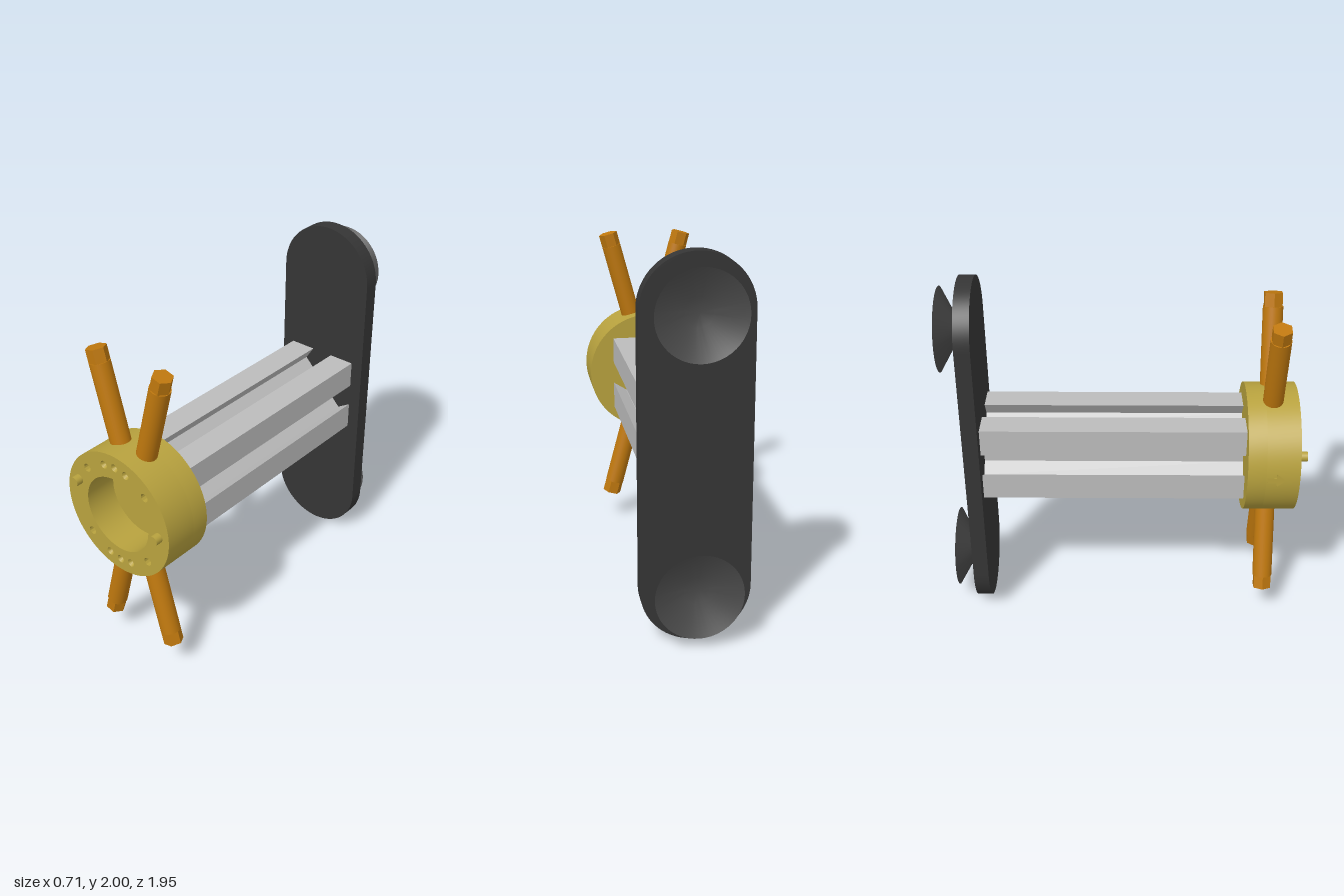
import * as THREE from 'three';
import { toCreasedNormals } from 'three/addons/utils/BufferGeometryUtils.js';

const CENTRE_Y = 1;

function material(name, color) {
  const m = new THREE.MeshStandardMaterial({ color });
  m.name = name;
  return m;
}

export function createModel() {
  const brass = material('brass', 0xb8a23e);
  const amber = material('amber', 0xbf780e);
  const aluminium = material('aluminium', 0xbcbcbc);
  const black = material('black', 0x353535);
  const rubber = material('rubber', 0x4a4a4a);
  const model = new THREE.Group();

  function add(name, geometry, mat, x = 0, y = 0, z = 0, parent = model) {
    const mesh = new THREE.Mesh(geometry, mat);
    mesh.name = name;
    mesh.position.set(x, y, z);
    parent.add(mesh);
    return mesh;
  }
  const extrude = (shape, depth) => toCreasedNormals(
    new THREE.ExtrudeGeometry(shape, { depth, bevelEnabled: false, curveSegments: 40 }), 0.5);
  const lathe = (points, segments) => toCreasedNormals(
    new THREE.LatheGeometry(points.map(p => new THREE.Vector2(...p)), segments), 0.5);
  const disc = r => new THREE.Shape().absarc(0, 0, r, 0, Math.PI * 2, false);

  // Upright back plate with rounded ends
  const R = 0.285;
  const plate = new THREE.Shape();
  plate.absarc(0, 2 - R, R, 0, Math.PI, false);
  plate.absarc(0, R, R, Math.PI, Math.PI * 2, false);
  plate.closePath();
  add('backPlate', extrude(plate, 0.085), black, 0, 0, -0.865);

  // Suction cups behind the plate
  const cup = lathe([[0.085, 0], [0.085, 0.03], [0.228, 0.11], [0.075, 0.035], [0, 0.035]], 48);
  cup.rotateX(-Math.PI / 2);
  for (const y of [R, 2 - R]) add('suctionCup', cup, rubber, 0, y, -0.865);

  // Slotted beam: one side of the section, turned four times
  const side = [[10, -10], [10, -3], [6.5, -5.2], [3.9, -2.6], [3.9, 2.6], [6.5, 5.2], [10, 3]];
  const section = [];
  for (let k = 0; k < 4; k++) {
    for (const [x, y] of side) {
      section.push(new THREE.Vector2(x, y).multiplyScalar(0.0215)
        .rotateAround(new THREE.Vector2(), k * Math.PI / 2));
    }
  }
  add('slottedBeam', extrude(new THREE.Shape(section), 1.435), aluminium, 0, CENTRE_Y, -0.78);

  // Round head: solid back and a bored front ring
  const head = new THREE.Group();
  head.name = 'head';
  head.position.y = CENTRE_Y;
  model.add(head);
  const smallHoles = [];
  for (const s of [1, -1]) {
    for (const x of [-0.075, 0, 0.075]) smallHoles.push([x, s * (x ? 0.275 : 0.287)]);
  }
  const ring = disc(0.355);
  const bore = (x, y, r) => ring.holes.push(new THREE.Path().absarc(x, y, r, 0, Math.PI * 2, true));
  bore(0, 0, 0.215);
  for (const x of [-0.2, 0.2]) for (const y of [-0.2, 0.2]) bore(x, y, 0.023);
  for (const [x, y] of smallHoles) bore(x, y, 0.022);
  add('headBack', extrude(disc(0.355), 0.1), brass, 0, 0, 0.655, head);
  add('headRing', extrude(ring, 0.18), brass, 0, 0, 0.755, head);

  // Countersunk screw seats
  const seat = lathe([[0.022, 0], [0.012, -0.02], [0, -0.02]], 20);
  seat.rotateX(Math.PI / 2);
  for (const [x, y] of smallHoles) add('screwSeat', seat, brass, x, y, 0.935, head);

  // Two locating pins on the face
  const pin = new THREE.CylinderGeometry(0.027, 0.027, 0.05, 24).rotateX(Math.PI / 2);
  for (const [x, y] of [[-0.27, 0.1], [0.285, 0]]) add('locatingPin', pin, brass, x, y, 0.95, head);

  // Small arrow mark on the right side
  const arrow = new THREE.Shape([[-0.05, -0.015], [0, -0.015], [0, -0.04], [0.05, 0],
    [0, 0.04], [0, 0.015], [-0.05, 0.015]].map(p => new THREE.Vector2(...p)));
  add('arrowMark', extrude(arrow, 0.007), brass, -0.35, 0, 0.81, head).rotation.y = -Math.PI / 2;

  // Four slanted handles with six-sided tips
  const shaft = new THREE.CylinderGeometry(0.055, 0.055, 0.455, 32).translate(0, 0.5575, 0);
  const tip = toCreasedNormals(
    new THREE.CylinderGeometry(0.055, 0.055, 0.075, 6).rotateY(Math.PI / 6).translate(0, 0.8225, 0), 0.5);
  for (const degrees of [15, -15, 165, -165]) {
    const handle = new THREE.Group();
    handle.name = 'handle';
    handle.position.z = 0.795;
    handle.rotation.z = degrees * Math.PI / 180;
    add('handleShaft', shaft, amber, 0, 0, 0, handle);
    add('handleTip', tip, amber, 0, 0, 0, handle);
    head.add(handle);
  }

  return model;
}
